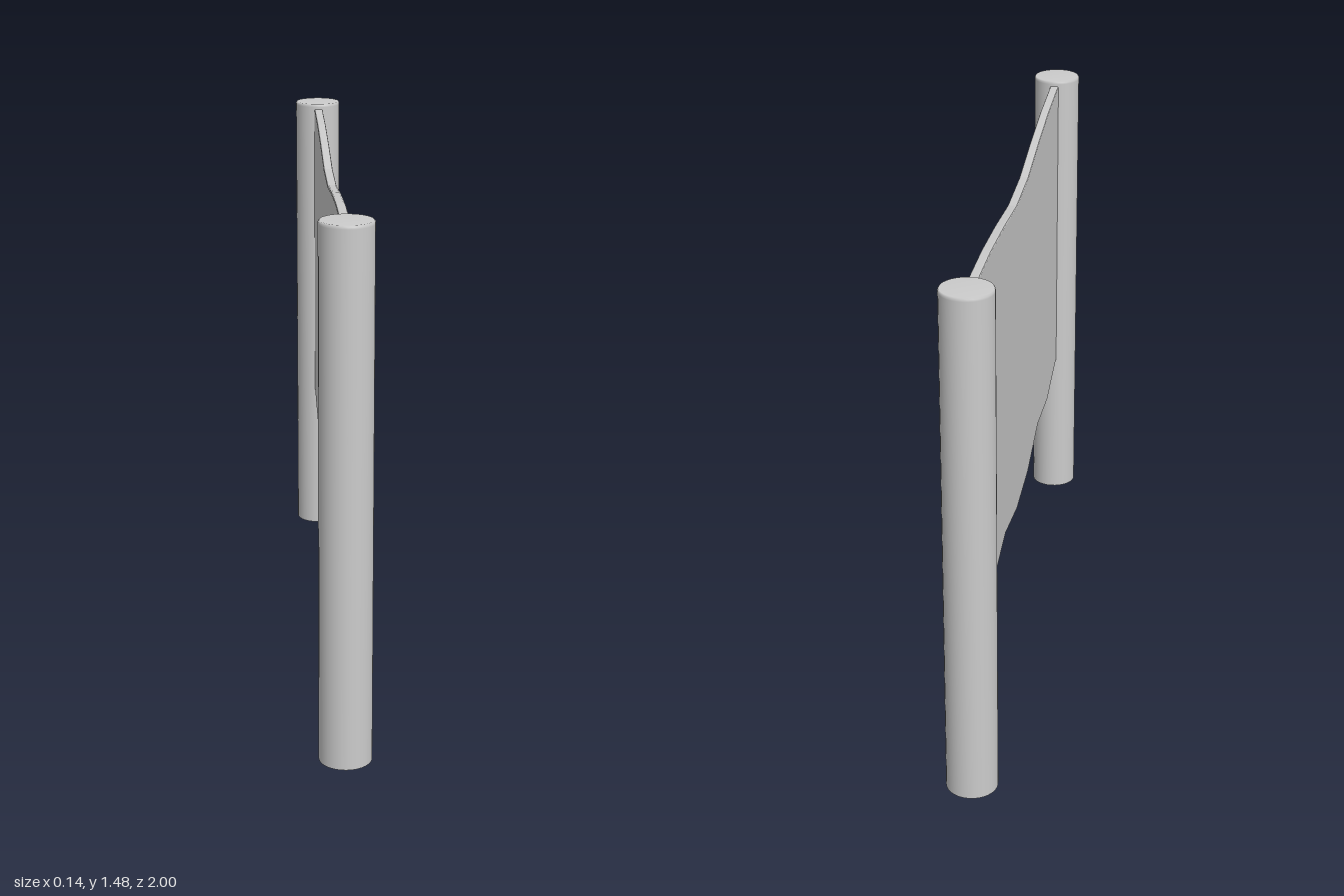
import * as THREE from 'three';

const grey = new THREE.MeshStandardMaterial({ color: 0xcccccc });

// Round post with a softly shaded top and a flat underside
function makePost(name, z) {
  const r = 0.072, h = 1.475;
  const profile = [
    [r, 0], [r, h - 0.01], [r, h - 0.004], [r - 0.003, h], [0, h],
  ].map(([x, y]) => new THREE.Vector2(x, y));
  const post = new THREE.Group();
  post.name = name;
  const shaft = new THREE.Mesh(new THREE.LatheGeometry(profile, 32), grey);
  shaft.name = 'postShaft';
  const foot = new THREE.Mesh(new THREE.CircleGeometry(r, 32).rotateX(Math.PI / 2), grey);
  foot.name = 'postBase';
  post.add(shaft, foot);
  post.position.z = z;
  return post;
}

// Hanging sheet: sagging top edge and wavy bottom edge, mirrored about the middle
function makeBanner() {
  const top = [[0.122, 1.4], [0.367, 1.429], [0.61, 1.45], [0.87, 1.459]];
  const bottom = [[0.122, 0.428], [0.367, 0.476], [0.61, 0.449], [0.87, 0.49]];
  const mirror = (half) => half.map(([x, y]) => [-x, y]).reverse();
  const outline = [
    ...mirror(bottom), ...bottom,
    ...[...mirror(top), ...top].reverse(),
  ].map(([x, y]) => new THREE.Vector2(x, y));

  const thickness = 0.027, bevel = 0.005;
  const geometry = new THREE.ExtrudeGeometry(new THREE.Shape(outline), {
    depth: thickness - 2 * bevel,
    bevelEnabled: true,
    bevelThickness: bevel,
    bevelSize: bevel,
    bevelOffset: -bevel,
    bevelSegments: 2,
  });
  geometry.translate(0, 0, bevel - thickness / 2).rotateY(Math.PI / 2);
  const banner = new THREE.Mesh(geometry, grey);
  banner.name = 'banner';
  return banner;
}

export function createModel() {
  const model = new THREE.Group();
  model.name = 'bannerBetweenPosts';
  model.add(makePost('frontPost', 0.928), makePost('backPost', -0.928), makeBanner());
  return model;
}
